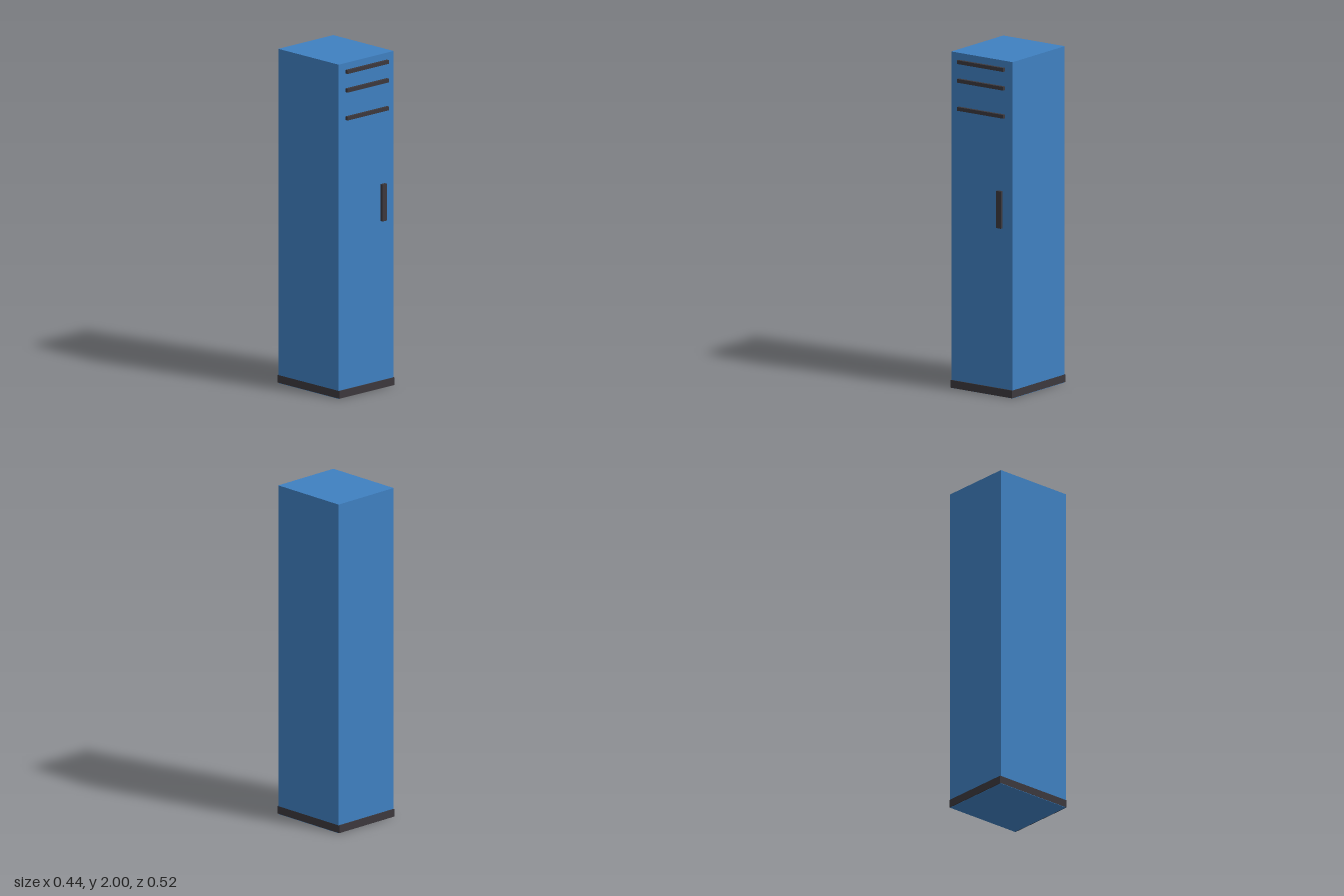
import * as THREE from 'three';

export function createModel() {
  const locker = new THREE.Group();
  locker.name = 'locker';

  const blue = new THREE.MeshStandardMaterial({ color: 0x3f80c1 });
  blue.name = 'blue paint';
  const dark = new THREE.MeshStandardMaterial({ color: 0x3c383d });
  dark.name = 'dark trim';

  // Box given by its min and max corners
  function box(name, material, [x0, y0, z0], [x1, y1, z1]) {
    const geometry = new THREE.BoxGeometry(x1 - x0, y1 - y0, z1 - z0);
    const mesh = new THREE.Mesh(geometry, material);
    mesh.position.set((x0 + x1) / 2, (y0 + y1) / 2, (z0 + z1) / 2);
    mesh.name = name;
    locker.add(mesh);
  }

  const front = 0.244;
  const proud = 0.262;

  // Cabinet, its blue floor panel reaching the ground
  box('cabinet', blue, [-0.222, 0, -0.256], [0.222, 2, front]);

  // Plinth band, a hair wider than the cabinet and just clear of the ground
  box('plinth', dark, [-0.2225, 0.002, -0.262], [0.2225, 0.048, 0.25]);

  // Vent slats across the top of the door
  [1.948, 1.837, 1.67].forEach((y, i) => {
    box(`ventSlat${i + 1}`, dark, [-0.167, y - 0.011, front - 0.005], [0.167, y + 0.011, proud]);
  });

  // Door handle
  box('doorHandle', dark, [0.116, 1.002, front - 0.005], [0.15, 1.223, proud]);

  return locker;
}
